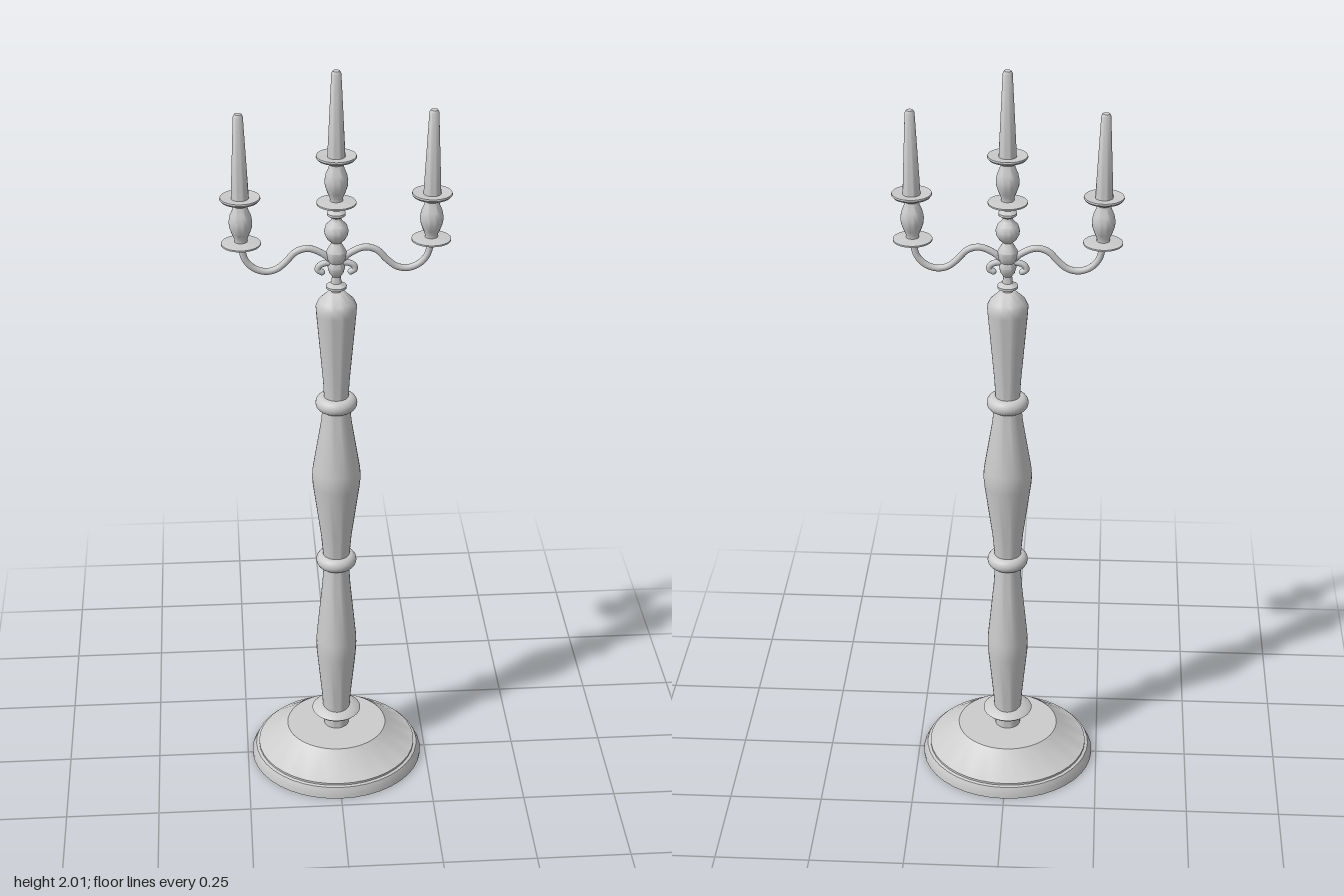
import * as THREE from 'three';
import { toCreasedNormals } from 'three/addons/utils/BufferGeometryUtils.js';

const metal = new THREE.MeshStandardMaterial({ color: 0xcccccc });

// Turned part from [radius, height] pairs; creased so sharp edges stay sharp
function turned(name, profile, segments = 32) {
  const points = profile.map(([r, y]) => new THREE.Vector2(r, y));
  const geometry = toCreasedNormals(new THREE.LatheGeometry(points, segments), 0.6);
  const mesh = new THREE.Mesh(geometry, metal);
  mesh.name = name;
  return mesh;
}

// Round bar along a smooth curve in the x-y plane, closed at both ends
function bar(name, path, radius) {
  const points = path.map(([x, y]) => new THREE.Vector3(x, y, 0));
  const group = new THREE.Group();
  group.name = name;
  const curve = new THREE.CatmullRomCurve3(points);
  group.add(new THREE.Mesh(new THREE.TubeGeometry(curve, 40, radius, 12), metal));
  for (const end of [points[0], points[points.length - 1]]) {
    const cap = new THREE.Mesh(new THREE.SphereGeometry(radius, 12, 8), metal);
    cap.position.copy(end);
    group.add(cap);
  }
  return group;
}

// Candle on a drip pan, above a vase-shaped cup and a lower disc
function candleHolder(name, x, y) {
  const group = new THREE.Group();
  group.name = name;
  group.add(turned('lowerDisc', [
    [0, -0.006], [0.02, -0.005], [0.049, 0.001], [0.049, 0.005], [0.016, 0.009], [0, 0.009],
  ]));
  group.add(turned('cup', [
    [0, 0.004], [0.016, 0.006], [0.016, 0.016], [0.022, 0.03], [0.028, 0.048], [0.029, 0.062],
    [0.026, 0.078], [0.02, 0.092], [0.017, 0.103], [0.021, 0.112], [0, 0.114],
  ]));
  group.add(turned('dripPan', [
    [0, 0.108], [0.022, 0.109], [0.046, 0.117], [0.05, 0.122], [0.049, 0.126], [0.02, 0.123], [0, 0.123],
  ]));
  group.add(turned('candle', [
    [0, 0.12], [0.022, 0.12], [0.021, 0.145], [0.012, 0.332], [0.009, 0.338], [0, 0.338],
  ], 24));
  group.position.set(x, y, 0);
  return group;
}

export function createModel() {
  const model = new THREE.Group();
  model.name = 'candelabra';

  // Oval stepped foot
  const base = turned('base', [
    [0, 0], [0.237, 0], [0.237, 0.008], [0.226, 0.03], [0.218, 0.032],
    [0.218, 0.038], [0.211, 0.04], [0.137, 0.098], [0, 0.098],
  ], 40);
  base.scale.z = 0.935;
  model.add(base);

  // Neck and collar above the foot
  model.add(turned('baseNeck', [[0, 0.09], [0.034, 0.09], [0.034, 0.14], [0, 0.14]]));
  model.add(turned('baseCollar', [
    [0, 0.132], [0.035, 0.134], [0.06, 0.141], [0.067, 0.148], [0.06, 0.155], [0.035, 0.163], [0, 0.163],
  ]));

  // Three column sections
  const lower = turned('lowerColumn', [
    [0, 0.155], [0.037, 0.155], [0.04, 0.2], [0.054, 0.345], [0.055, 0.37],
    [0.054, 0.395], [0.038, 0.56], [0.033, 0.64], [0, 0.64],
  ]);
  lower.scale.z = 1.17;
  model.add(lower);
  model.add(turned('middleColumn', [
    [0, 0.64], [0.034, 0.64], [0.041, 0.72], [0.062, 0.875], [0.064, 0.9],
    [0.062, 0.925], [0.04, 1.06], [0.034, 1.118], [0, 1.118],
  ]));
  model.add(turned('upperColumn', [
    [0, 1.118], [0.031, 1.118], [0.034, 1.18], [0.051, 1.375], [0.052, 1.393],
    [0.045, 1.408], [0.024, 1.428], [0.012, 1.434], [0, 1.434],
  ]));

  // Rounded rings between the sections
  for (const y of [0.64, 1.118]) {
    const ring = new THREE.Mesh(new THREE.TorusGeometry(0.034, 0.02, 16, 36), metal);
    ring.name = 'columnRing';
    ring.rotation.x = Math.PI / 2;
    ring.position.y = y;
    model.add(ring);
  }

  // Turned finial carrying the arms and the centre holder
  model.add(turned('armHub', [
    [0, 1.425], [0.013, 1.43], [0.013, 1.437], [0.026, 1.443], [0.026, 1.449], [0.013, 1.457],
    [0.011, 1.475], [0.018, 1.485], [0.022, 1.5], [0.018, 1.513], [0.024, 1.525], [0.025, 1.542],
    [0.017, 1.556], [0.012, 1.566], [0.022, 1.575], [0.029, 1.588], [0.03, 1.598], [0.026, 1.612],
    [0.014, 1.624], [0.012, 1.632], [0.023, 1.639], [0.023, 1.645], [0.012, 1.652], [0.012, 1.675], [0, 1.675],
  ]));
  model.add(candleHolder('centerHolder', 0, 1.668));

  // Mirrored arms, scrolls and side holders
  for (const [side, s] of [['left', 1], ['right', -1]]) {
    model.add(bar(side + 'Arm', [
      [0.01, 1.515], [0.035, 1.537], [0.07, 1.551], [0.1, 1.543], [0.127, 1.515], [0.15, 1.497],
      [0.177, 1.492], [0.205, 1.502], [0.226, 1.526], [0.235, 1.565],
    ].map(([x, y]) => [s * x, y]), 0.0085));
    model.add(bar(side + 'Scroll', [
      [0.012, 1.512], [0.03, 1.51], [0.043, 1.503], [0.046, 1.493], [0.036, 1.486],
    ].map(([x, y]) => [s * x, y]), 0.008));
    model.add(candleHolder(side + 'Holder', s * 0.235, 1.566));
  }

  return model;
}
